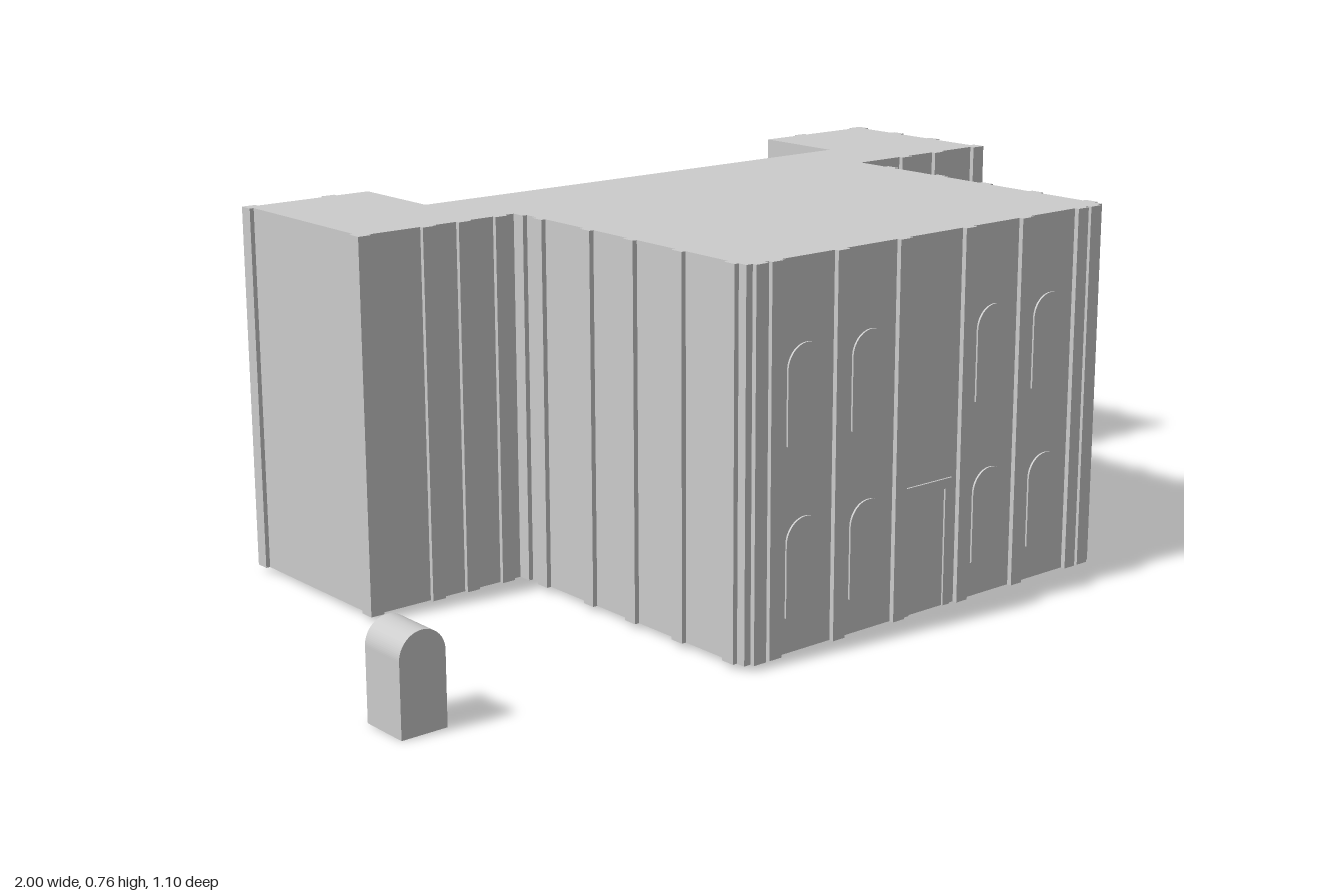
import * as THREE from 'three';

const BASE = 0.01, TOP = 0.76, HEIGHT = TOP - BASE;
const FRONT = 0.54, RELIEF = 0.004;

export function createModel() {
  const model = new THREE.Group();
  model.name = 'building';
  const grey = new THREE.MeshStandardMaterial({ color: 0xcccccc, flatShading: true });
  const smooth = new THREE.MeshStandardMaterial({ color: 0xcccccc });

  const add = (name, geometry, material = grey) => {
    const mesh = new THREE.Mesh(geometry, material);
    mesh.name = name;
    model.add(mesh);
    return mesh;
  };
  // Box given by its limits
  const box = (name, x0, x1, y0, y1, z0, z1) =>
    add(name, new THREE.BoxGeometry(x1 - x0, y1 - y0, z1 - z0))
      .position.set((x0 + x1) / 2, (y0 + y1) / 2, (z0 + z1) / 2);

  // Main block with two rear wings, extruded upward from the floor plan
  const plan = [
    [-0.34, 0.54], [0.615, 0.54], [0.615, -0.15], [0.988, -0.15], [0.988, -0.54], [0.69, -0.54],
    [0.69, -0.33], [-0.425, -0.33], [-0.425, -0.54], [-0.706, -0.54], [-0.706, -0.135], [-0.34, -0.135],
  ];
  const outline = new THREE.Shape(plan.map(([x, z]) => new THREE.Vector2(x, -z)));
  const walls = new THREE.ExtrudeGeometry(outline, { depth: HEIGHT, bevelEnabled: false });
  walls.rotateX(-Math.PI / 2).translate(0, BASE, 0);
  add('walls', walls);

  // Full-height pilasters: centres along a wall, between an inner and an outer plane
  const HALF = 0.015;
  const pilastersAlongX = (name, centres, z0, z1) =>
    centres.forEach((x) => box(name, x - HALF, x + HALF, BASE, TOP, z0, z1));
  const pilastersAlongZ = (name, centres, x0, x1) =>
    centres.forEach((z) => box(name, x0, x1, BASE, TOP, z - HALF, z + HALF));

  pilastersAlongX('frontPilaster', [-0.31, -0.272, -0.11, 0.05, 0.226, 0.385, 0.548, 0.586], 0.52, 0.55);
  pilastersAlongZ('leftPilaster', [-0.06, 0.09, 0.22, 0.36, 0.505], 0.6, 0.625);
  pilastersAlongZ('rightPilaster', [-0.12, -0.06, 0.09, 0.22, 0.36, 0.505], -0.35, -0.325);
  pilastersAlongX('leftWingFrontPilaster', [0.75, 0.855], -0.17, -0.14);
  pilastersAlongX('rightWingFrontPilaster', [-0.555, -0.472, -0.385], -0.155, -0.126);
  pilastersAlongX('leftWingBackPilaster', [0.8], -0.55, -0.52);
  pilastersAlongX('rightWingBackPilaster', [-0.515], -0.55, -0.52);
  pilastersAlongZ('leftWingSidePilaster', [-0.295, -0.415], 0.97, 1.0);

  // Corner piers of the wings
  box('cornerPier', 0.967, 1.0, BASE, TOP, -0.55, -0.52);
  box('cornerPier', 0.967, 1.0, BASE, TOP, -0.17, -0.14);
  box('cornerPier', -0.715, -0.685, BASE, TOP, -0.55, -0.52);
  box('cornerPier', -0.715, -0.685, BASE, TOP, -0.158, -0.126);

  // Round-topped block standing on y = 0, its back on z = 0
  const arch = (depth) => {
    const r = 0.0475, spring = 0.19 - r;
    const s = new THREE.Shape();
    s.moveTo(-r, 0);
    s.lineTo(r, 0);
    s.lineTo(r, spring);
    s.absarc(0, spring, r, 0, Math.PI, false);
    s.lineTo(-r, 0);
    return new THREE.ExtrudeGeometry(s, { depth, bevelEnabled: false, curveSegments: 24 });
  };

  // Shallow arched windows in two storeys
  for (const x of [-0.193, -0.03, 0.305, 0.467]) {
    for (const y of [0.08, 0.41]) {
      add('window', arch(0.02 + RELIEF), smooth).position.set(x, y, FRONT - 0.02);
    }
  }

  // Door surround
  box('doorJamb', 0.065, 0.083, BASE, 0.25, 0.52, FRONT + RELIEF);
  box('doorJamb', 0.178, 0.196, BASE, 0.25, 0.52, FRONT + RELIEF);
  box('doorLintel', 0.065, 0.196, 0.25, 0.27, 0.52, FRONT + RELIEF);

  // Free-standing arched block beside the building
  add('archedBlock', arch(0.105), smooth).position.set(-0.9525, 0, 0.3);

  return model;
}
